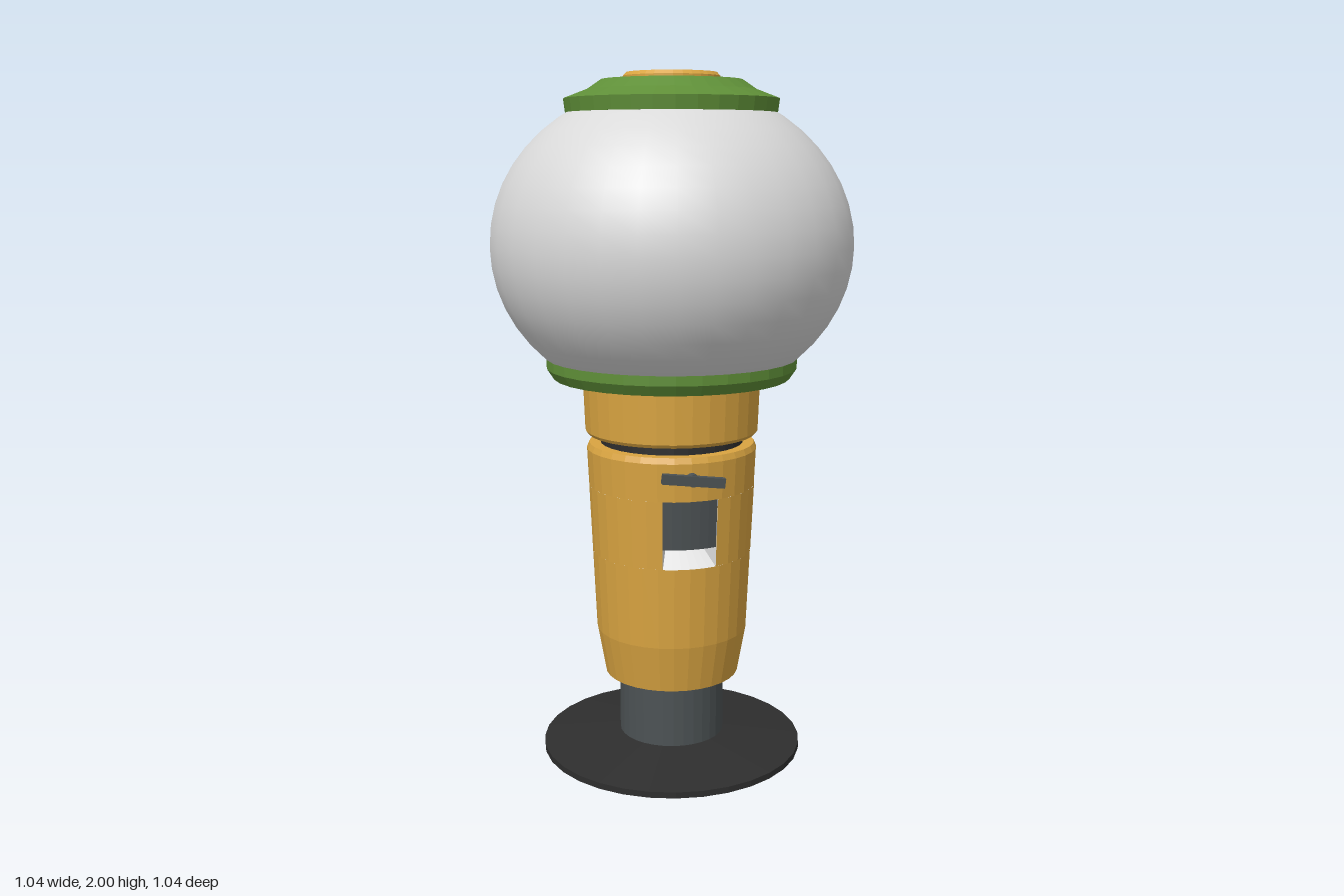
import * as THREE from 'three';
import { toCreasedNormals } from 'three/addons/utils/BufferGeometryUtils.js';

const mat = (name, color, side = THREE.FrontSide) => {
  const m = new THREE.MeshStandardMaterial({ color, side });
  m.name = name;
  return m;
};

export function createModel() {
  const group = new THREE.Group();
  const yellow = mat('yellow', 0xd9a441);
  const green = mat('green', 0x5f8f38);
  const globeGrey = mat('globe grey', 0xd9d9d9);
  const steel = mat('dark steel', 0x4c5254);
  const black = mat('base black', 0x2e2e2e);
  const pale = mat('chute pale grey', 0xe2e2e2, THREE.DoubleSide);

  const add = (name, geo, material) => {
    const mesh = new THREE.Mesh(geo, material);
    mesh.name = name;
    group.add(mesh);
    return mesh;
  };
  // Turned part from [radius, y] points listed bottom to top, with faceted sides
  const turned = (name, profile, material, start = 0, sweep = Math.PI * 2, segments = 32) => {
    const points = profile.map(([r, y]) => new THREE.Vector2(r, y));
    const geo = new THREE.LatheGeometry(points, segments, start, sweep);
    return add(name, toCreasedNormals(geo, 0.02), material);
  };

  // Foot and stem
  turned('base', [[0, 0], [0.39, 0], [0.39, 0.018], [0.15, 0.05], [0, 0.05]], black);
  turned('stem', [[0.157, 0.045], [0.157, 0.25]], steel);

  // Body, with an opening at the front between y 0.62 and 0.82
  const half = 0.335;
  const radiusAt = (y) => 0.225 + (y - 0.38) * 0.0455;
  const low = 0.62, high = 0.82;
  turned('lowerBody', [[0, 0.24], [0.2, 0.24], [0.225, 0.38], [radiusAt(low), low]], yellow);
  turned('middleBody', [[radiusAt(low), low], [radiusAt(high), high]], yellow,
    half, Math.PI * 2 - half * 2, 29);
  turned('upperBody', [[0.17, high], [radiusAt(high), high], [0.25, 0.93], [0.243, 0.947], [0, 0.947]], yellow);

  // Chute: sloping floor, back wall and two cheeks
  turned('chute', [[radiusAt(low), low], [0.17, 0.66], [0.17, high]], pale, -half, half * 2, 6);
  for (const side of [-1, 1]) {
    const cheek = new THREE.Shape([
      new THREE.Vector2(radiusAt(low), low), new THREE.Vector2(radiusAt(high), high),
      new THREE.Vector2(0.17, high), new THREE.Vector2(0.17, 0.66),
    ]);
    add('chuteCheek', new THREE.ShapeGeometry(cheek), pale).rotation.y = -Math.PI / 2 + side * half;
  }
  turned('flap', [[0.228, 0.678], [0.236, 0.678], [0.243, high], [0.235, high]], steel, -half, half * 2, 6);

  // Turning handle
  const pin = add('handlePin', new THREE.CylinderGeometry(0.018, 0.018, 0.05, 16), steel);
  pin.rotation.x = Math.PI / 2;
  pin.position.set(0, 0.887, 0.248);
  const handle = add('handle', new THREE.BoxGeometry(0.18, 0.028, 0.02), steel);
  handle.rotation.z = -0.12;
  handle.position.set(0, 0.887, 0.27);

  // Neck groove and collar
  turned('neckGroove', [[0.21, 0.94], [0.21, 0.985]], black);
  turned('collar', [[0, 0.975], [0.247, 0.975], [0.254, 0.985], [0.26, 1.14]], yellow);
  turned('globeRing', [[0, 1.14], [0.345, 1.14], [0.365, 1.17], [0.365, 1.215], [0, 1.215]], green);

  // Squashed smooth globe
  const globe = add('globe', new THREE.SphereGeometry(0.52, 32, 24), globeGrey);
  globe.scale.y = 0.453 / 0.52;
  globe.position.y = 1.52;

  // Lid and cap
  turned('lid', [[0, 1.89], [0.3, 1.89], [0.305, 1.928], [0.24, 1.953], [0.2, 1.98], [0, 1.98]], green);
  turned('cap', [[0.137, 1.975], [0.137, 1.99], [0.128, 2], [0, 2]], yellow);
  return group;
}
